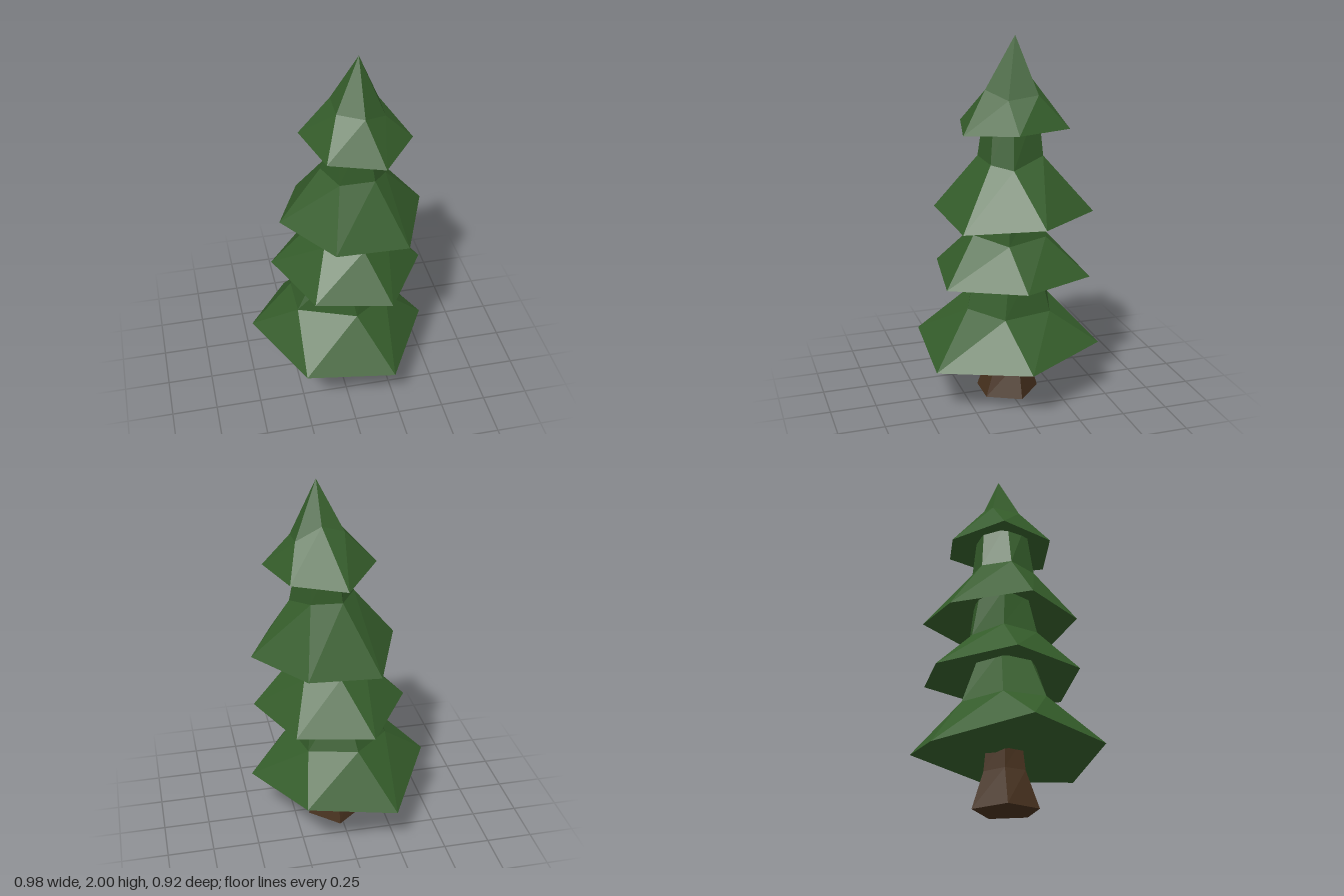
import * as THREE from 'three';

// Skin stacked rings of [x, y, z] corners (ordered from +x towards +z) and cap both ends.
// hollow raises the middle of the underside.
function loft(name, rings, material, hollow = 0) {
  const pos = [];
  const tri = (a, b, c) => pos.push(...a, ...b, ...c);
  const centre = (ring) => [0, 1, 2].map((k) => ring.reduce((s, p) => s + p[k], 0) / ring.length);
  const n = rings[0].length;
  const first = rings[0], last = rings[rings.length - 1];
  const c0 = centre(first), c1 = centre(last);
  c0[1] += hollow;
  for (let i = 0; i < n; i++) {
    const j = (i + 1) % n;
    for (let r = 0; r < rings.length - 1; r++) {
      const a = rings[r], b = rings[r + 1];
      tri(a[i], b[i], a[j]);
      tri(a[j], b[i], b[j]);
    }
    tri(c0, first[i], first[j]);
    tri(c1, last[j], last[i]);
  }
  const geometry = new THREE.BufferGeometry();
  geometry.setAttribute('position', new THREE.Float32BufferAttribute(pos, 3));
  geometry.computeVertexNormals();
  const mesh = new THREE.Mesh(geometry, material);
  mesh.name = name;
  return mesh;
}

// Level ring from [x, z] pairs
const level = (y, pts) => pts.map(([x, z]) => [x, y, z]);

export function createModel() {
  const foliage = new THREE.MeshStandardMaterial({ color: 0x345c2a, flatShading: true });
  foliage.name = 'foliage green';
  const bark = new THREE.MeshStandardMaterial({ color: 0x47311e, flatShading: true });
  bark.name = 'bark brown';
  const tree = new THREE.Group();
  tree.name = 'pineTree';

  // Five-sided trunk, flared at the foot
  tree.add(loft('trunk', [
    level(0, [[0.175, -0.035], [0.085, 0.145], [-0.095, 0.145], [-0.145, -0.04], [0.02, -0.175]]),
    level(0.2, [[0.11, -0.035], [0.065, 0.08], [-0.07, 0.08], [-0.085, -0.035], [0.02, -0.115]]),
    level(0.36, [[0.095, -0.03], [0.055, 0.065], [-0.06, 0.065], [-0.075, -0.03], [0.02, -0.1]]),
  ], bark));

  // Foliage tiers: drooping rim, shoulder, neck
  tree.add(loft('bottomTier', [
    [[0.49, 0.29, 0.01], [0.23, 0.255, 0.46], [-0.26, 0.32, 0.445],
      [-0.49, 0.35, -0.02], [-0.235, 0.24, -0.46], [0.255, 0.325, -0.445]],
    [[0.26, 0.52, 0.09], [0.06, 0.53, 0.24], [-0.25, 0.54, 0.13],
      [-0.25, 0.54, -0.1], [-0.06, 0.53, -0.26], [0.2, 0.52, -0.18]],
    level(0.83, [[0.19, 0.04], [0.01, 0.165], [-0.1, 0.09], [-0.1, -0.06], [0, -0.15], [0.16, -0.12]]),
  ], foliage));

  tree.add(loft('lowerMiddleTier', [
    [[0.46, 0.73, 0.03], [0.22, 0.71, 0.395], [-0.19, 0.745, 0.345],
      [-0.36, 0.75, -0.06], [-0.115, 0.70, -0.415], [0.295, 0.73, -0.37]],
    [[0.265, 0.93, 0.07], [0.1, 0.96, 0.215], [-0.1, 0.96, 0.14],
      [-0.14, 0.965, -0.06], [0.02, 0.95, -0.185], [0.21, 0.95, -0.15]],
    level(1.2, [[0.23, 0.06], [0.09, 0.14], [-0.06, 0.1], [-0.095, -0.04], [0.02, -0.145], [0.17, -0.13]]),
  ], foliage, 0.1));

  tree.add(loft('upperMiddleTier', [
    [[0.475, 1.07, -0.06], [0.315, 1.035, 0.33], [-0.085, 1.085, 0.38],
      [-0.32, 1.09, 0.04], [-0.16, 1.03, -0.36], [0.235, 1.075, -0.405]],
    [[0.25, 1.33, 0.04], [0.17, 1.35, 0.14], [-0.02, 1.36, 0.155],
      [-0.09, 1.375, 0], [0, 1.37, -0.14], [0.17, 1.38, -0.145]],
    level(1.66, [[0.19, 0.02], [0.125, 0.105], [-0.01, 0.11], [-0.02, 0], [0.03, -0.12], [0.15, -0.12]]),
  ], foliage, 0.18));

  // Crown closing to a point
  tree.add(loft('topTier', [
    [[0.385, 1.54, 0.055], [0.19, 1.515, 0.29], [-0.1, 1.54, 0.225],
      [-0.19, 1.56, -0.075], [0.005, 1.505, -0.31], [0.29, 1.54, -0.245]],
    [[0.235, 1.69, 0.065], [0.11, 1.73, 0.15], [-0.02, 1.73, 0.07],
      [-0.02, 1.74, -0.085], [0.1, 1.78, -0.1], [0.235, 1.71, -0.095]],
    level(2, Array(6).fill([0.11, -0.01])),
  ], foliage, 0.1));

  return tree;
}
